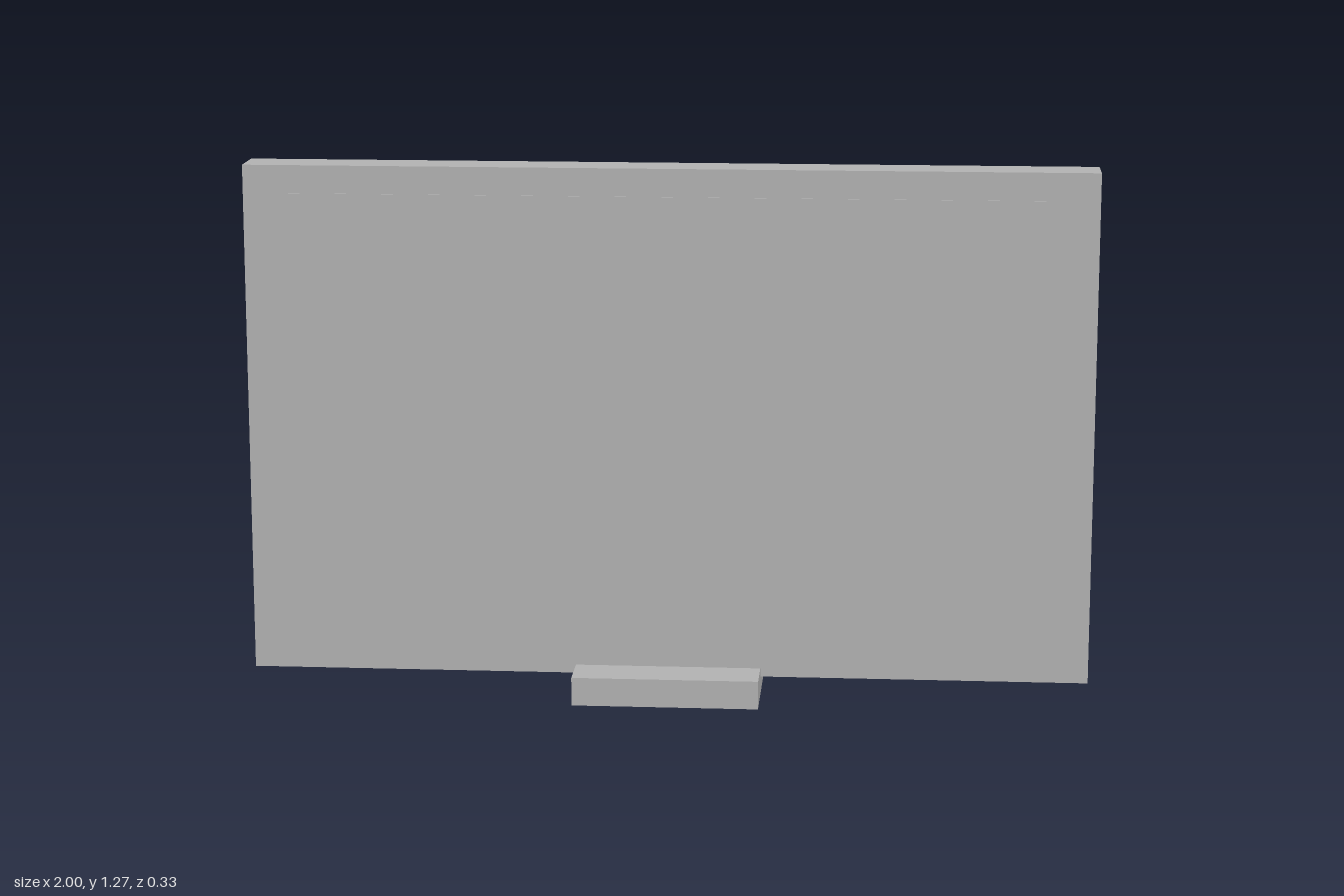
import * as THREE from 'three';

export function createModel() {
  const group = new THREE.Group();
  const grey = new THREE.MeshStandardMaterial({ color: 0xb2b2b2 });
  grey.name = 'grey';

  // Box from its width, height, depth and the height of its underside
  function box(name, w, h, d, bottom, z = 0) {
    const mesh = new THREE.Mesh(new THREE.BoxGeometry(w, h, d), grey);
    mesh.name = name;
    mesh.position.set(0, bottom + h / 2, z);
    group.add(mesh);
  }

  // Upright slab and the foot it is set into
  box('cabinet', 2, 1.22, 0.109, 0.048);
  box('foot', 0.443, 0.068, 0.332, 0);

  // Slightly raised panels on both faces
  box('frontPanel', 1.866, 1.09, 0.004, 0.112, 0.0545);
  box('backPanel', 1.866, 1.09, 0.004, 0.112, -0.0545);

  return group;
}
